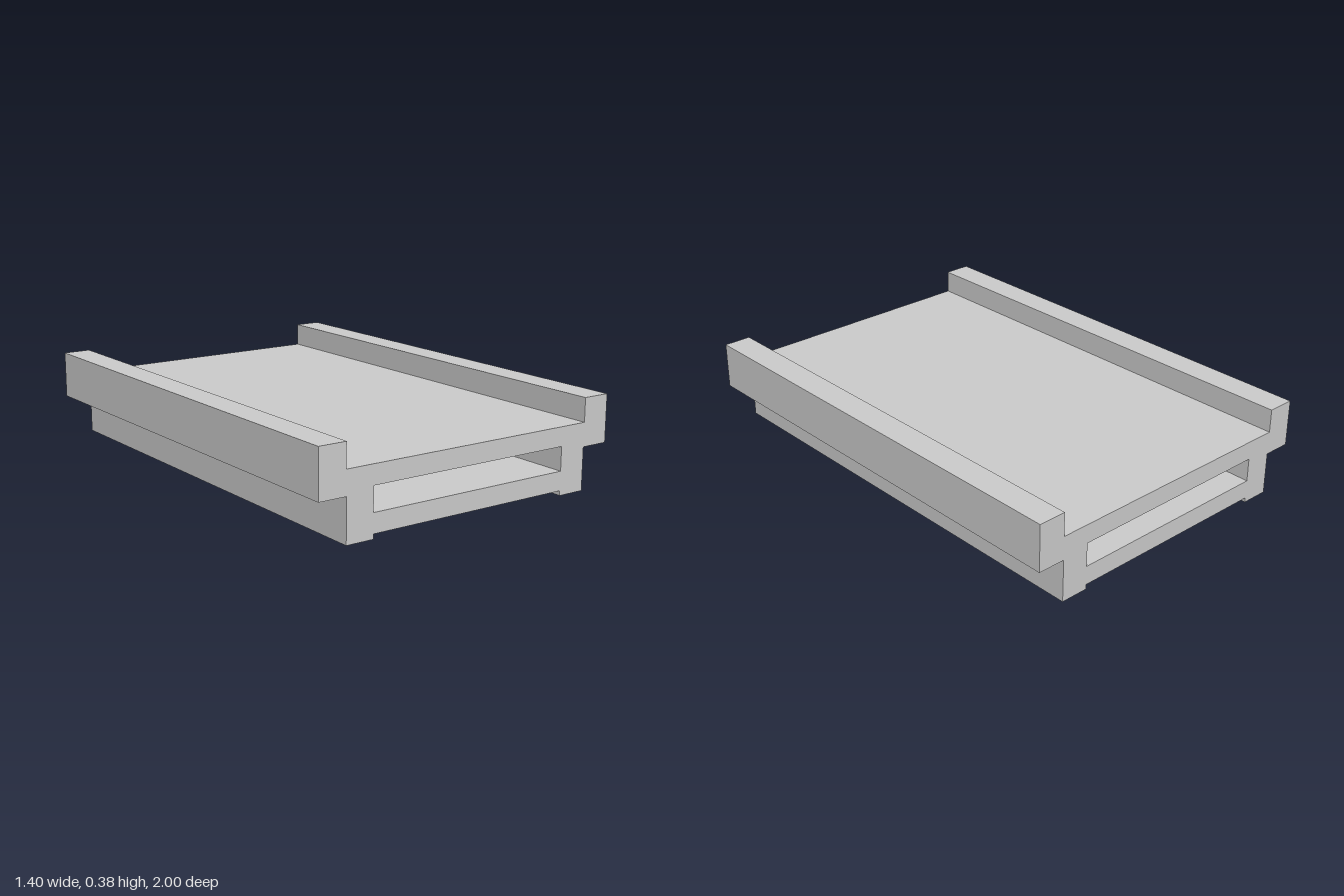
import * as THREE from 'three';

const LENGTH = 2;

// Right half of the outer section, from bottom centre to top centre
const halfSection = [
  [0.46, 0.02], [0.46, 0], [0.58, 0],        // underside and runner foot
  [0.58, 0.18], [0.70, 0.18], [0.70, 0.38],  // runner side and rail
  [0.58, 0.38], [0.58, 0.28],                // rail top and deck edge
];

// Closes a half section by mirroring it across x = 0
function mirrored(half) {
  const other = half.map(([x, y]) => [-x, y]).reverse();
  return [...half, ...other].map(([x, y]) => new THREE.Vector2(x, y));
}

export function createModel() {
  const group = new THREE.Group();
  group.name = 'railedDeck';

  // Deck, side rails, runners and lower plate as one continuous section
  const section = new THREE.Shape(mirrored(halfSection));

  // Slot running the full length between deck and lower plate
  section.holes.push(new THREE.Path(mirrored([[0.46, 0.10], [0.46, 0.20]])));

  const geometry = new THREE.ExtrudeGeometry(section, { depth: LENGTH, bevelEnabled: false });
  geometry.translate(0, 0, -LENGTH / 2);

  const body = new THREE.Mesh(
    geometry,
    new THREE.MeshStandardMaterial({ color: 0xcccccc, flatShading: true })
  );
  body.name = 'deckWithRailsAndRunners';
  group.add(body);

  return group;
}
